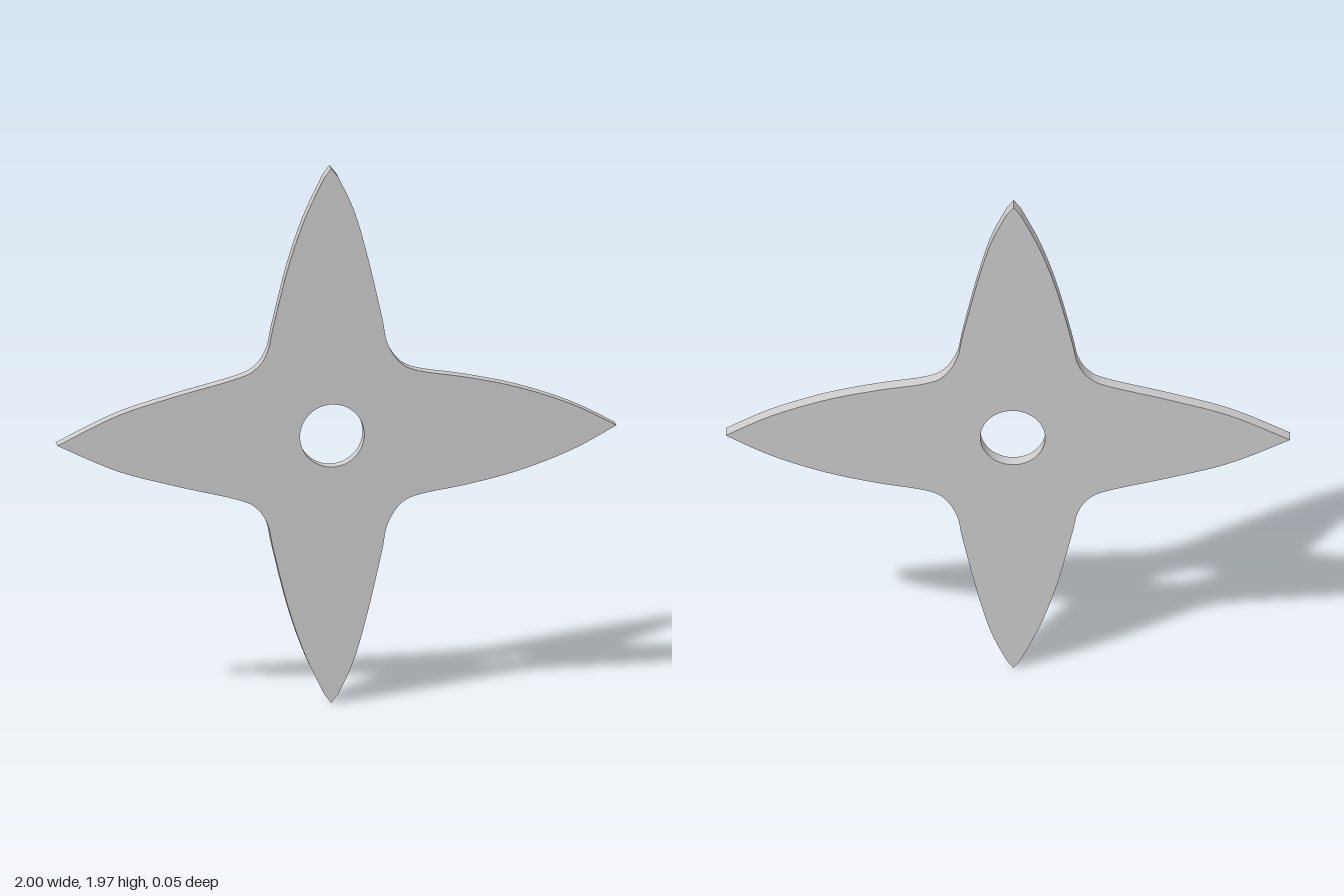
import * as THREE from 'three';

const MID_Y = 0.983, HUB_X = -0.017, THICKNESS = 0.048;

// Blade edges of the upper half, from the top point out to each side point (y from the hub)
const rightEdge = [[0.005, 0.95], [0.06, 0.83], [0.107, 0.667], [0.16, 0.437], [0.18, 0.337],
  [0.225, 0.262], [0.295, 0.227], [0.465, 0.197], [0.65, 0.153], [0.84, 0.084], [1, 0]];
const leftEdge = [[-0.045, 0.95], [-0.115, 0.8], [-0.175, 0.622], [-0.228, 0.407], [-0.247, 0.32],
  [-0.285, 0.26], [-0.355, 0.223], [-0.58, 0.164], [-0.79, 0.1], [-1, 0]];

function smooth(points) {
  const curve = new THREE.SplineCurve(points.map(([x, y]) => new THREE.Vector2(x, y)));
  return curve.getPoints(50);
}

const flip = (points) => points.map((p) => new THREE.Vector2(p.x, -p.y));

export function createModel() {
  const model = new THREE.Group();
  const right = smooth(rightEdge);
  const left = smooth(leftEdge);
  const top = new THREE.Vector2(-0.02, MID_Y);

  // Upper outline from the right point to the left point, then its mirror below
  const upper = [...right.reverse(), top, ...left];
  const lower = flip(upper).reverse().slice(1, -1);
  const outline = new THREE.Shape([...upper, ...lower]);

  // Round hole through the hub
  const hole = new THREE.Path();
  hole.absarc(HUB_X, 0, 0.115, 0, Math.PI * 2, true);
  outline.holes.push(hole);

  // Flat plate with four blades
  const geometry = new THREE.ExtrudeGeometry(outline, {
    depth: THICKNESS, bevelEnabled: false, curveSegments: 32,
  });
  geometry.translate(0, MID_Y, -THICKNESS / 2);

  const star = new THREE.Mesh(geometry, new THREE.MeshStandardMaterial({ color: 0xcccccc }));
  star.name = 'throwingStar';
  model.add(star);
  return model;
}
